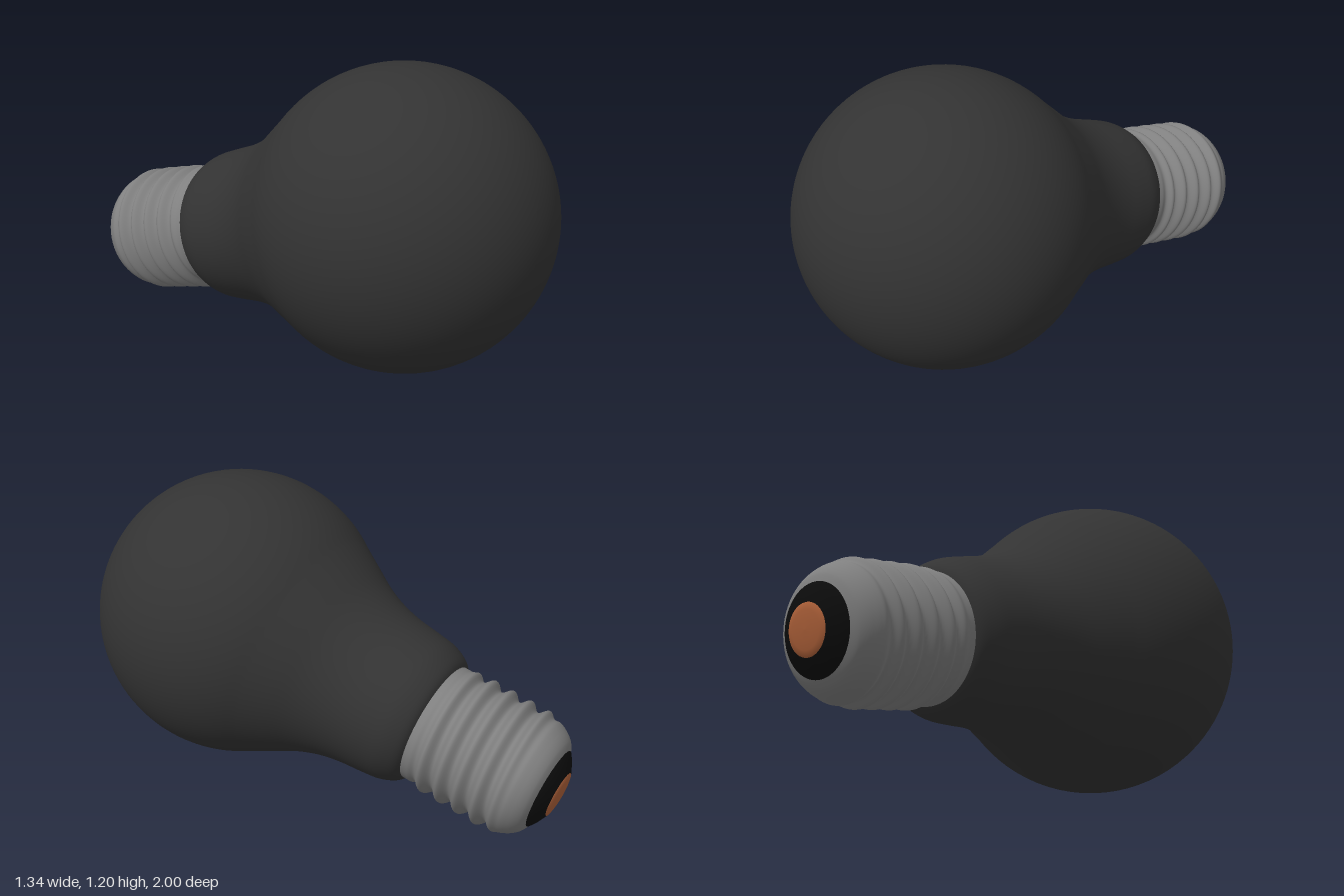
import * as THREE from 'three';
import { ParametricGeometry } from 'three/addons/geometries/ParametricGeometry.js';

const CENTRE = new THREE.Vector3(0.065, 0.598, 0.405);
const AXIS = new THREE.Vector3(-0.368, -0.262, -0.892).normalize();
const RADIUS = 0.594;
const PITCH = 0.081;

const points = list => list.map(([r, y]) => new THREE.Vector2(r, y));

function lathe(name, color, pts, segments = 72) {
  const mesh = new THREE.Mesh(
    new THREE.LatheGeometry(pts, segments),
    new THREE.MeshStandardMaterial({ color, side: THREE.DoubleSide })
  );
  mesh.name = name;
  return mesh;
}

// Spherical globe flowing into a rounded neck
function glassBulb() {
  const pts = [];
  const end = 0.59; // latitude where the sphere meets the neck curve
  for (let i = 0; i <= 40; i++) {
    const a = -Math.PI / 2 + (end + Math.PI / 2) * i / 40;
    pts.push(new THREE.Vector2(Math.max(0, RADIUS * Math.cos(a)), RADIUS * Math.sin(a)));
  }
  const neck = new THREE.SplineCurve(points([
    [0.494, 0.33], [0.44, 0.425], [0.387, 0.52], [0.352, 0.61], [0.331, 0.70],
    [0.319, 0.80], [0.308, 0.875], [0.289, 0.925], [0.268, 0.955], [0.24, 0.972],
  ]));
  pts.push(...neck.getPoints(40).slice(1));
  return lathe('glassBulb', 0x333333, pts, 96);
}

// Metal sleeve with a right-handed helical thread fading out at both ends
function screwBase() {
  const profile = new THREE.SplineCurve(points([
    [0.25, 0.94], [0.25, 1.02], [0.25, 1.12], [0.25, 1.22], [0.25, 1.32],
    [0.247, 1.39], [0.228, 1.435], [0.2, 1.468], [0.165, 1.487],
  ]));
  const p = new THREE.Vector2();
  const surface = (u, v, target) => {
    const a = -u * Math.PI * 2;
    profile.getPoint(v, p);
    const fade = THREE.MathUtils.smoothstep(p.y, 0.99, 1.05)
      * (1 - THREE.MathUtils.smoothstep(p.y, 1.34, 1.41));
    const r = p.x + 0.015 * fade * Math.cos((p.y - 1.11) / PITCH * Math.PI * 2 + a);
    target.set(r * Math.cos(a), p.y, r * Math.sin(a));
  };
  const mesh = new THREE.Mesh(
    new ParametricGeometry(surface, 96, 120),
    new THREE.MeshStandardMaterial({ color: 0x808080, side: THREE.DoubleSide })
  );
  mesh.name = 'screwBase';
  return mesh;
}

export function createModel() {
  const bulb = new THREE.Group();
  bulb.name = 'lightBulb';
  bulb.add(glassBulb(), screwBase());

  // Dark insulating cone and copper contact at the tip
  bulb.add(lathe('insulator', 0x0c0c0c, points([
    [0.172, 1.475], [0.167, 1.488], [0.14, 1.507], [0.1, 1.527], [0.09, 1.529], [0, 1.529],
  ])));
  bulb.add(lathe('contact', 0xb0623a, points([
    [0.096, 1.522], [0.094, 1.53], [0.07, 1.535], [0.035, 1.538], [0, 1.539],
  ])));

  // Lay the bulb on its side, resting on globe and thread
  const up = new THREE.Vector3(0, 1, 0).addScaledVector(AXIS, -AXIS.y).normalize();
  const side = new THREE.Vector3().crossVectors(up, AXIS);
  bulb.quaternion.setFromRotationMatrix(new THREE.Matrix4().makeBasis(up, AXIS, side));
  bulb.position.copy(CENTRE);

  const model = new THREE.Group();
  model.name = 'model';
  model.add(bulb);
  return model;
}
